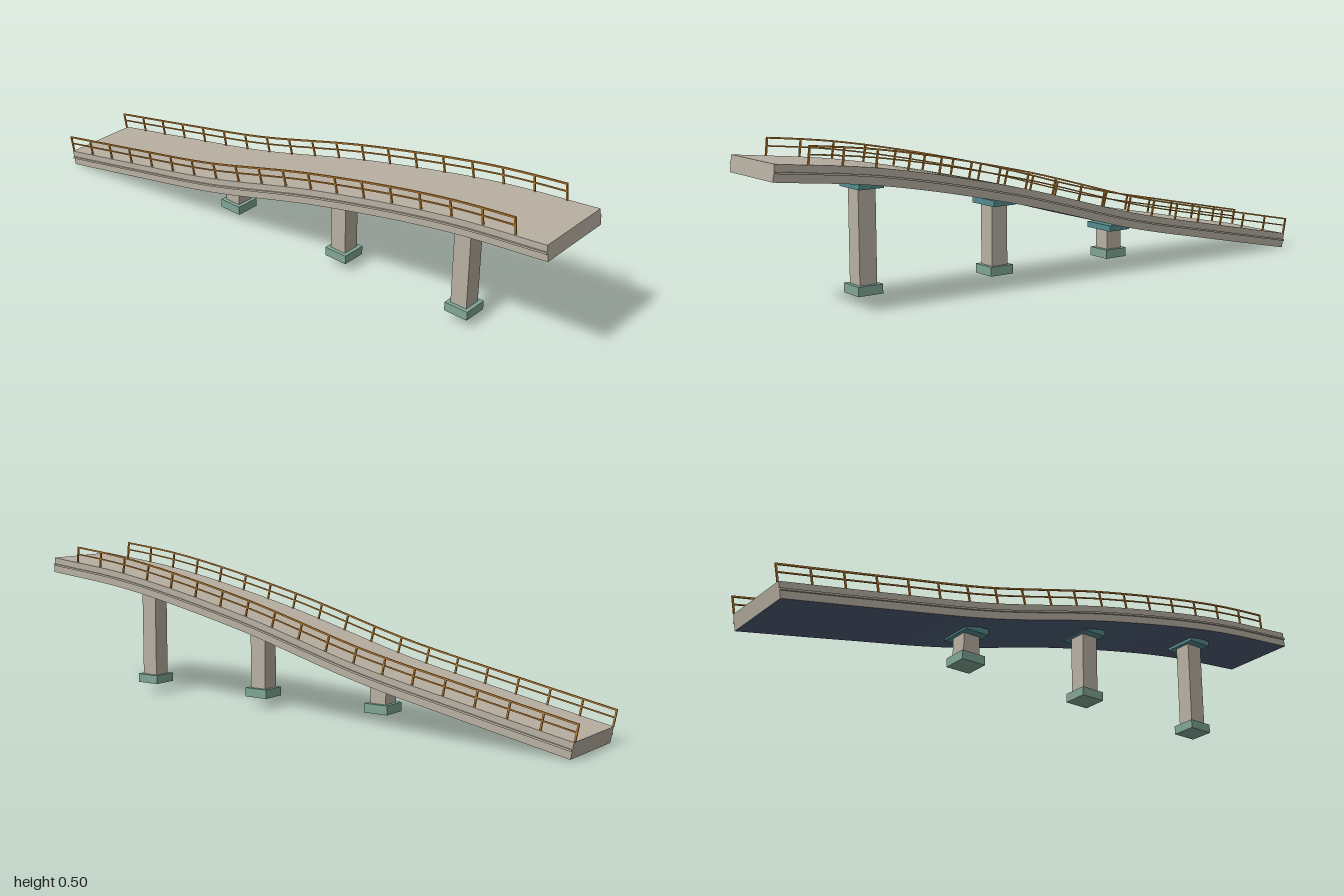
import * as THREE from 'three';

// Centreline of the deck
const path = new THREE.CatmullRomCurve3(
  [[-0.984, 0.0265], [-0.63, 0.097], [-0.285, 0.169], [0.18, 0.294],
    [0.65, 0.391], [0.994, 0.431]].map(([x, y]) => new THREE.Vector3(x, y, 0)),
  false, 'centripetal');

// Point at fraction u of the path, raised by h along the path normal
function pointOn(u, h, z) {
  const p = path.getPointAt(u), t = path.getTangentAt(u);
  return new THREE.Vector3(p.x - t.y * h, p.y + t.x * h, z);
}

// Box bent to follow the path between fractions u0 and u1
function sweep(u0, u1, h, height, z, depth, segments = 48) {
  const g = new THREE.BoxGeometry(1, height, depth, segments, 1, 1);
  const pos = g.attributes.position;
  for (let i = 0; i < pos.count; i++) {
    const u = u0 + (u1 - u0) * (pos.getX(i) + 0.5);
    const p = pointOn(Math.min(1, Math.max(0, u)), h + pos.getY(i), z + pos.getZ(i));
    pos.setXYZ(i, p.x, p.y, p.z);
  }
  g.computeVertexNormals();
  return g;
}

export function createModel() {
  const root = new THREE.Group();
  root.name = 'rampBridge';
  const mat = (name, color) => {
    const m = new THREE.MeshStandardMaterial({ color });
    m.name = name;
    return m;
  };
  const concrete = mat('concrete', 0xb8b0a2);
  const underside = mat('slateUnderside', 0x4f5f78);
  const teal = mat('tealCap', 0x548b8e);
  const green = mat('greenFooting', 0x80a696);
  const bronze = mat('bronzeRail', 0xc4822f);

  const add = (name, geometry, material, parent = root) => {
    const m = new THREE.Mesh(geometry, material);
    m.name = name;
    parent.add(m);
    return m;
  };

  // Deck: ends, top, bottom, sides
  add('deck', sweep(0, 1, -0.0015, 0.05, 0, 0.264),
    [concrete, concrete, concrete, underside, concrete, concrete]);

  // Side trims and railings
  const endU = 0.948, posts = 19, railHeight = 0.054, deckTop = 0.0235;
  for (const side of [1, -1]) {
    const name = side > 0 ? 'front' : 'back';
    add(name + 'Trim', sweep(0, 1, 0, 0.006, side * 0.134, 0.006), concrete);

    const railing = new THREE.Group();
    railing.name = name + 'Railing';
    root.add(railing);
    const z = side * 0.1265;
    add('topRail', sweep(0, endU, deckTop + railHeight - 0.0025, 0.005, z, 0.005), bronze, railing);
    add('middleRail', sweep(0, endU, deckTop + railHeight * 0.52, 0.004, z, 0.004), bronze, railing);
    for (let i = 0; i < posts; i++) {
      const u = endU * i / (posts - 1), t = path.getTangentAt(u);
      const post = add('post', new THREE.BoxGeometry(0.005, railHeight, 0.005), bronze, railing);
      post.position.copy(pointOn(u, deckTop + railHeight / 2, z));
      post.rotation.z = Math.atan2(t.y, t.x);
    }
  }

  // Piers: footing, column and cap
  for (const [x, top] of [[-0.285, 0.145], [0.179, 0.272], [0.649, 0.366]]) {
    const pier = new THREE.Group();
    pier.name = 'pier';
    pier.position.x = x;
    root.add(pier);
    const block = (name, w, y0, y1, d, material) => {
      add(name, new THREE.BoxGeometry(w, y1 - y0, d), material, pier).position.y = (y0 + y1) / 2;
    };
    block('footing', 0.083, 0.033, 0.062, 0.083, green);
    block('column', 0.058, 0.062, top - 0.019, 0.058, concrete);
    block('cap', 0.083, top - 0.019, top, 0.114, teal);
  }
  return root;
}
